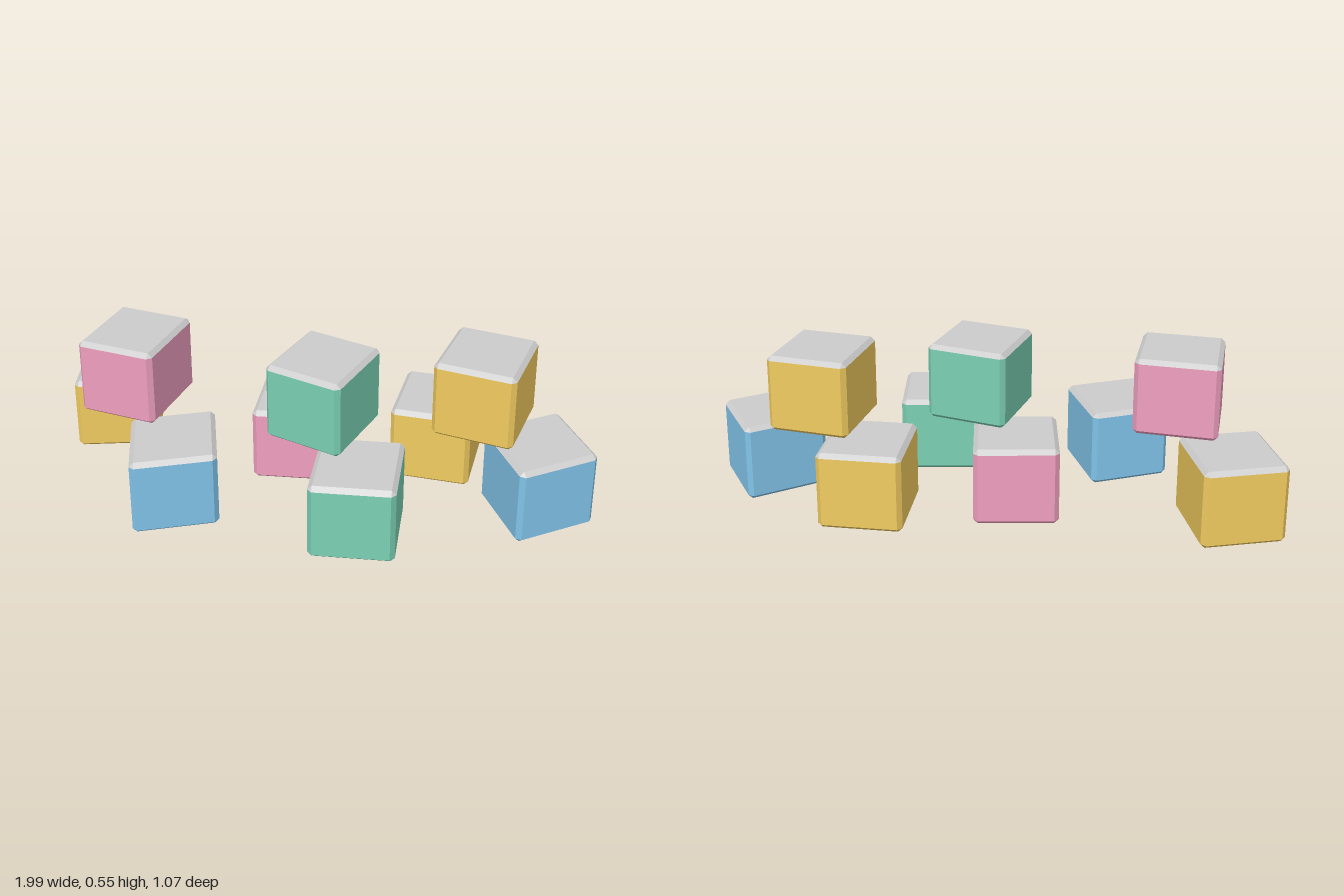
import * as THREE from 'three';

const SIZE = 0.296, HEIGHT = 0.272, BEVEL = 0.016, STRETCH = 1.26;

// Eight points round a square; its corners are cut by the bevel when outer, or meet in pairs when inner.
function ring(y, outer) {
  const a = SIZE / 2, c = a - BEVEL, points = [];
  const corner = outer ? [[a, c], [c, a]] : [[c, c], [c, c]];
  for (let k = 0; k < 4; k++) {
    for (const p of corner) {
      let [x, z] = p;
      for (let t = 0; t < k; t++) [x, z] = [-z, x];
      points.push(new THREE.Vector3(x, y, z));
    }
  }
  return points;
}

// Flat-sided skin through a stack of rings, capped at the bottom or top.
function skin(rings, capTop) {
  const points = [];
  const tri = (a, b, c) => {
    if (!a.equals(b) && !b.equals(c) && !a.equals(c)) points.push(a, b, c);
  };
  for (let r = 0; r < rings.length - 1; r++) {
    const lo = rings[r], hi = rings[r + 1];
    for (let i = 0; i < 8; i++) {
      const j = (i + 1) % 8;
      tri(lo[j], lo[i], hi[i]);
      tri(lo[j], hi[i], hi[j]);
    }
  }
  const cap = capTop ? rings[rings.length - 1] : rings[0];
  if (capTop) {
    tri(cap[0], cap[4], cap[2]);
    tri(cap[0], cap[6], cap[4]);
  } else {
    tri(cap[0], cap[2], cap[4]);
    tri(cap[0], cap[4], cap[6]);
  }
  return new THREE.BufferGeometry().setFromPoints(points);
}

export function createModel() {
  const model = new THREE.Group();
  model.name = 'stackedBlocks';

  const paint = (color) => new THREE.MeshStandardMaterial({ color, flatShading: true });
  const grey = paint(0xcccccc);
  const yellow = paint(0xf2cc60), blue = paint(0x82c4ea);
  const pink = paint(0xf0a0c0), green = paint(0x7bd0b4);

  const bodyShape = skin([ring(0, false), ring(BEVEL * 0.9, true), ring(HEIGHT - BEVEL * 0.9, true)], false);
  const lidShape = skin([ring(HEIGHT - BEVEL * 0.9, true), ring(HEIGHT, false)], true);

  // name, x, z, level, turn, colour
  const blocks = [
    ['leftmostBackBlock', -0.831, -0.326, 0, 0.178, yellow],
    ['frontBlueBlock', -0.475, 0.247, 0, 0.3, blue],
    ['upperPinkBlock', -0.674, -0.037, 1, -0.217, pink],
    ['middleBackBlock', -0.094, -0.166, 0, 0.022, pink],
    ['middleFrontBlock', 0.189, 0.346, 0, 0.018, green],
    ['upperGreenBlock', 0.035, 0.092, 1, -0.366, green],
    ['backYellowBlock', 0.421, -0.23, 0, -0.113, yellow],
    ['endBlueBlock', 0.8, 0.091, 0, 0.502, blue],
    ['upperYellowBlock', 0.595, -0.035, 1, -0.253, yellow],
  ];

  for (const [name, x, z, level, turn, color] of blocks) {
    const block = new THREE.Group();
    block.name = name;
    block.position.set(x, level * (HEIGHT + 0.001), z);
    // Turned first, then stretched front to back
    for (const [part, shape, material] of [['body', bodyShape, color], ['lid', lidShape, grey]]) {
      const geometry = shape.clone().rotateY(turn).scale(1, 1, STRETCH);
      geometry.computeVertexNormals();
      const mesh = new THREE.Mesh(geometry, material);
      mesh.name = part;
      block.add(mesh);
    }
    model.add(block);
  }
  return model;
}
